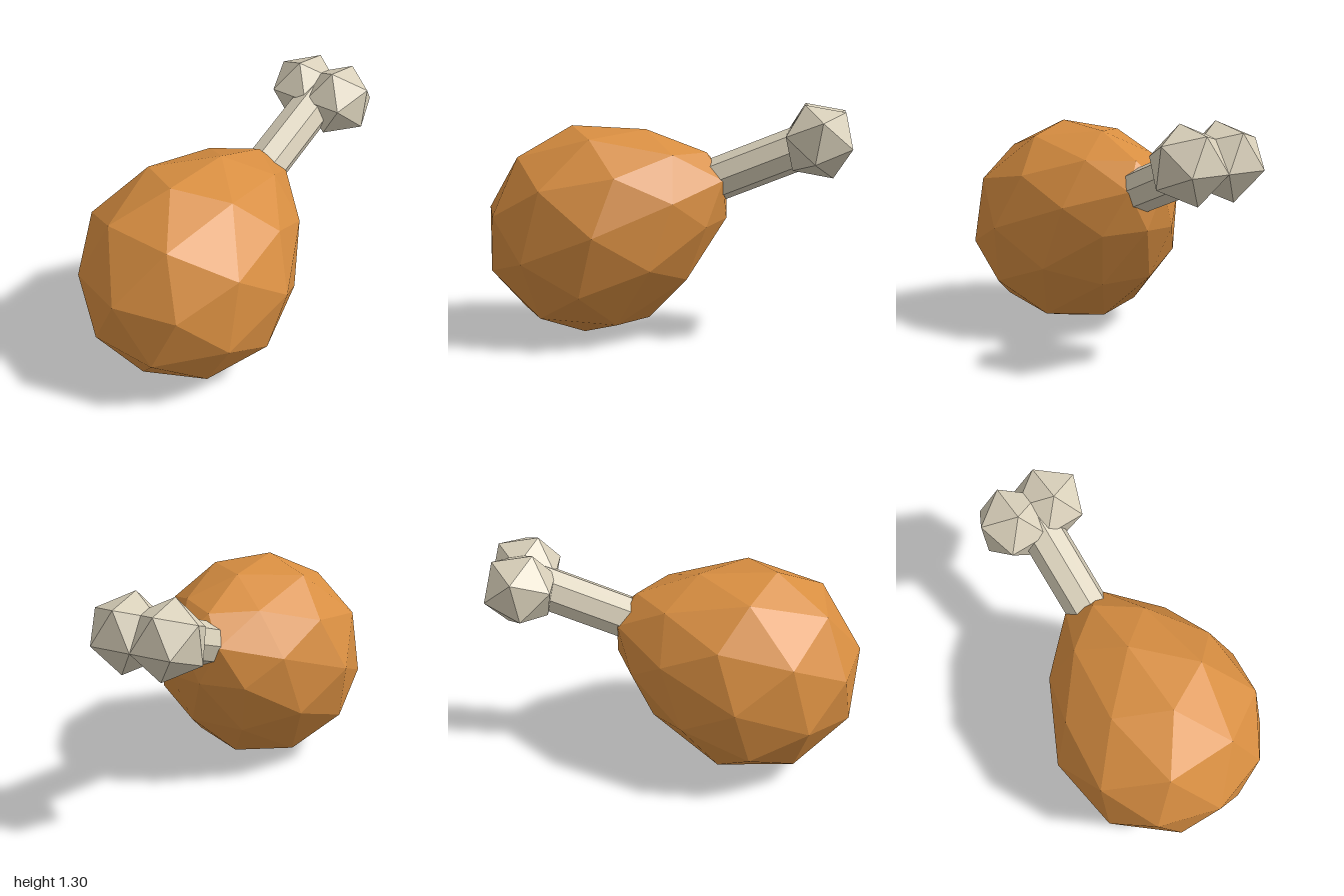
import * as THREE from 'three';

const TILT = 0.38; // lean of the bone above horizontal

export function createModel() {
  const group = new THREE.Group();
  const roast = new THREE.MeshStandardMaterial({ color: 0xd88e41, flatShading: true });
  roast.name = 'roastedMeat';
  const ivory = new THREE.MeshStandardMaterial({ color: 0xd9d0ba, flatShading: true });
  ivory.name = 'bone';

  const add = (name, geometry, material, x, y, z, turn) => {
    const mesh = new THREE.Mesh(geometry, material);
    mesh.name = name;
    mesh.position.set(x, y, z);
    mesh.rotation.z = turn;
    group.add(mesh);
    return mesh;
  };

  // Meat: faceted ball, stretched along the bone and tapered towards it
  const meat = new THREE.IcosahedronGeometry(1, 1);
  meat.rotateZ(-0.553);
  const p = meat.attributes.position;
  for (let i = 0; i < p.count; i++) {
    const a = p.getX(i);
    const girth = 0.58 - 0.135 * a - 0.1 * a * a;
    p.setXYZ(i, a * 0.72, p.getY(i) * girth, p.getZ(i) * girth);
  }
  meat.computeVertexNormals();
  add('meat', meat, roast, -0.32, 0.635, 0, TILT);

  // Bone shaft: eight-sided, its inner end sunk into the meat
  const shaft = new THREE.CylinderGeometry(0.12, 0.12, 0.8, 8);
  shaft.rotateZ(-Math.PI / 2);
  add('boneShaft', shaft, ivory, 0.428, 0.946, 0, TILT);

  // Two knuckles side by side at the end of the bone
  for (const side of [1, -1]) {
    add(side > 0 ? 'frontKnuckle' : 'backKnuckle',
      new THREE.IcosahedronGeometry(0.209, 0), ivory, 0.825, 1.105, side * 0.11, -0.175);
  }
  return group;
}
